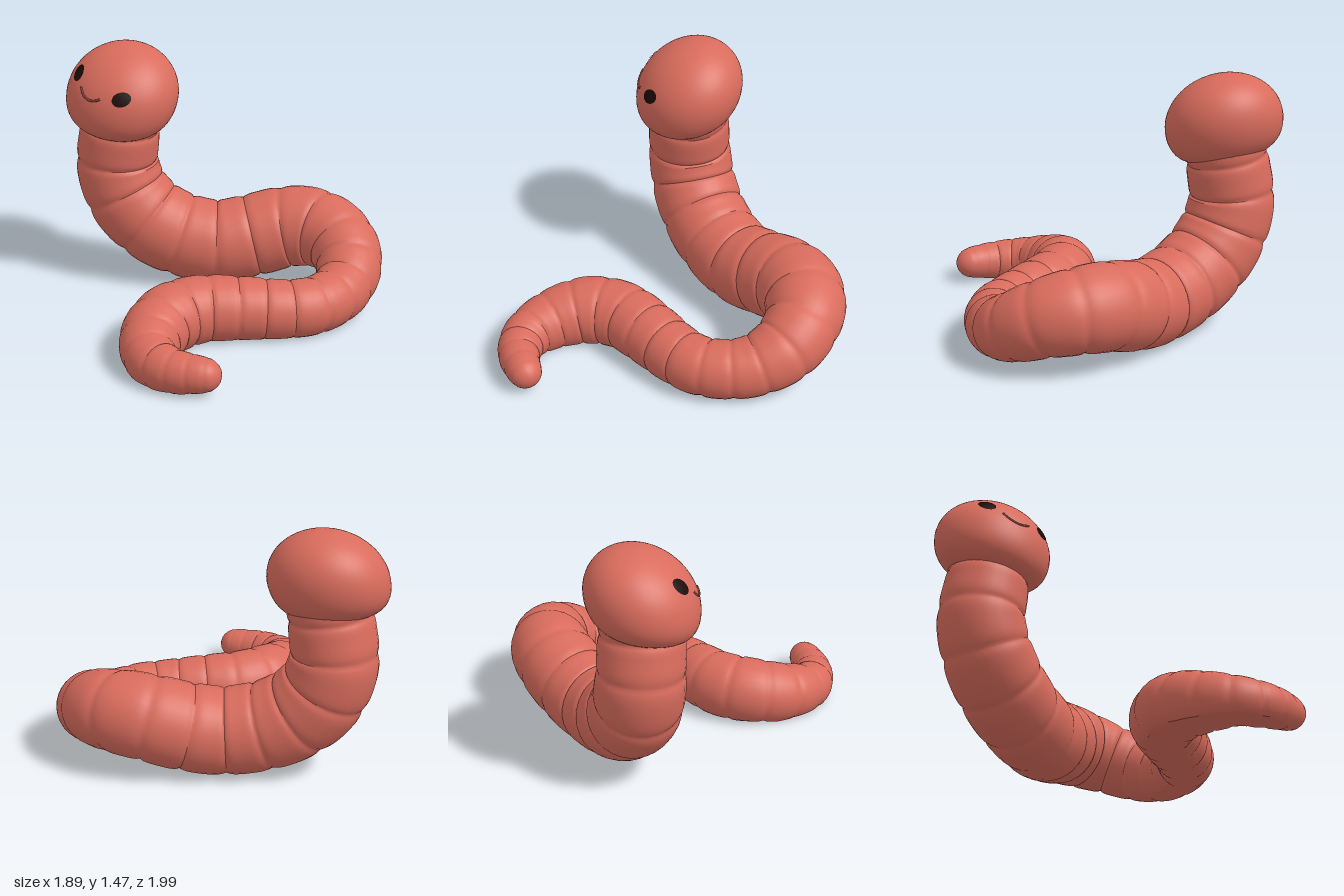
import * as THREE from 'three';
import { mergeVertices, toCreasedNormals } from 'three/addons/utils/BufferGeometryUtils.js';

const skin = new THREE.MeshStandardMaterial({ color: 0xd96c5d });
skin.name = 'coral skin';
const dark = new THREE.MeshStandardMaterial({ color: 0x1c0a09 });
dark.name = 'eye black';
const crease = new THREE.MeshStandardMaterial({ color: 0x8f4038 });
crease.name = 'mouth brown';

// Spine from neck to tail tip: x, y, z, radius
const spine = [
  [-0.6, 1.1, -0.08, 0.235], [-0.635, 0.9, -0.08, 0.24], [-0.655, 0.7, -0.085, 0.248],
  [-0.58, 0.49, -0.12, 0.255], [-0.4, 0.32, -0.22, 0.255], [-0.14, 0.24, -0.4, 0.25],
  [0.04, 0.28, -0.57, 0.25], [0.2, 0.335, -0.7, 0.245], [0.37, 0.345, -0.765, 0.235],
  [0.55, 0.31, -0.745, 0.215], [0.69, 0.235, -0.64, 0.195], [0.765, 0.17, -0.47, 0.172],
  [0.775, 0.15, -0.3, 0.165], [0.735, 0.145, -0.16, 0.165], [0.64, 0.145, -0.04, 0.17],
  [0.47, 0.155, 0.12, 0.183], [0.31, 0.16, 0.29, 0.193], [0.255, 0.15, 0.49, 0.195],
  [0.31, 0.12, 0.69, 0.175], [0.44, 0.1, 0.83, 0.143], [0.6, 0.1, 0.86, 0.122],
  [0.74, 0.11, 0.825, 0.103], [0.875, 0.12, 0.76, 0.08],
];

// Ringed tube: radius follows the spine, pinches between segments, rests flat on the ground
function bodyGeometry() {
  const STEPS = 420, SIDES = 32, TIP = 0.09;
  const path = new THREE.CatmullRomCurve3(spine.map(([x, y, z]) => new THREE.Vector3(x, y, z)));
  const girth = new THREE.CatmullRomCurve3(spine.map(s => new THREE.Vector3(s[3], 0, 0)), false, 'catmullrom');
  path.arcLengthDivisions = 800;
  const length = path.getLength();
  const g = new THREE.TubeGeometry(path, STEPS, 1, SIDES);
  const pos = g.attributes.position, nor = g.attributes.normal;
  const p = new THREE.Vector3(), n = new THREE.Vector3();
  let phase = 0.3;
  for (let i = 0; i <= STEPS; i++) {
    const u = i / STEPS;
    const base = girth.getPoint(path.getUtoTmapping(u)).x;
    phase += length / STEPS / (base * 0.88);
    const f = Math.abs(2 * (phase % 1) - 1);
    const d = Math.min(1, (1 - u) * length / TIP);
    const r = base * (1.015 - 0.06 * f ** 5) * Math.sqrt(Math.max(0, 1 - (1 - d) ** 2));
    path.getPointAt(u, p);
    for (let j = 0; j <= SIDES; j++) {
      const k = i * (SIDES + 1) + j;
      n.fromBufferAttribute(nor, k).multiplyScalar(r).add(p);
      pos.setXYZ(k, n.x, Math.max(0, n.y), n.z);
    }
  }
  g.deleteAttribute('uv');
  g.deleteAttribute('normal');
  return toCreasedNormals(mergeVertices(g, 1e-4), 0.7);
}

// Maps a unit direction to the mushroom-shaped head, domed above and flatter below
function headPoint(d, lift = 1) {
  const low = Math.max(0, -d.y);
  const y = d.y > 0 ? 0.3 * d.y : -0.22 * (1 - (1 - Math.min(1, low)) ** 1.6);
  const z = 0.312 * d.z - 0.2 * y;
  return new THREE.Vector3(0.345 * d.x, y - 0.08 * z * low, z).multiplyScalar(lift);
}

// Direction on the front of the head from its x and y
const facing = (x, y) => new THREE.Vector3(x, y, Math.sqrt(Math.max(0, 1 - x * x - y * y)));

function remap(g, rule) {
  const pos = g.attributes.position, v = new THREE.Vector3();
  for (let i = 0; i < pos.count; i++) {
    const q = rule(v.fromBufferAttribute(pos, i));
    pos.setXYZ(i, q.x, q.y, q.z);
  }
  g.deleteAttribute('uv');
  g.deleteAttribute('normal');
  const out = mergeVertices(g, 1e-5);
  out.computeVertexNormals();
  return out;
}

function addMesh(parent, name, geometry, material) {
  const m = new THREE.Mesh(geometry, material);
  m.name = name;
  parent.add(m);
}

export function createModel() {
  const model = new THREE.Group();
  model.name = 'worm';
  addMesh(model, 'body', bodyGeometry(), skin);

  const head = new THREE.Group();
  head.name = 'head';
  head.position.set(-0.603, 1.172, -0.08);
  head.rotation.z = -0.17;
  model.add(head);
  addMesh(head, 'skull', remap(new THREE.SphereGeometry(1, 48, 32), v => headPoint(v)), skin);

  // Eyes: thin oval patches that follow the head
  for (const [name, x, y] of [['rightEye', -0.47, 0.4], ['leftEye', 0.55, 0.28]]) {
    const patch = new THREE.RingGeometry(0.001, 1, 28, 4);
    addMesh(head, name, remap(patch, v =>
      headPoint(facing(x + 0.13 * v.x, y + 0.135 * v.y), 1.012)), dark);
  }

  // Smile: slim curved line across the front
  const smile = new THREE.CatmullRomCurve3(
    [[-0.24, 0.25], [-0.12, 0.15], [0.03, 0.11], [0.15, 0.14], [0.235, 0.2]]
      .map(([x, y]) => headPoint(facing(x, y), 1.0)));
  addMesh(head, 'smile', new THREE.TubeGeometry(smile, 24, 0.007, 8), crease);
  return model;
}
